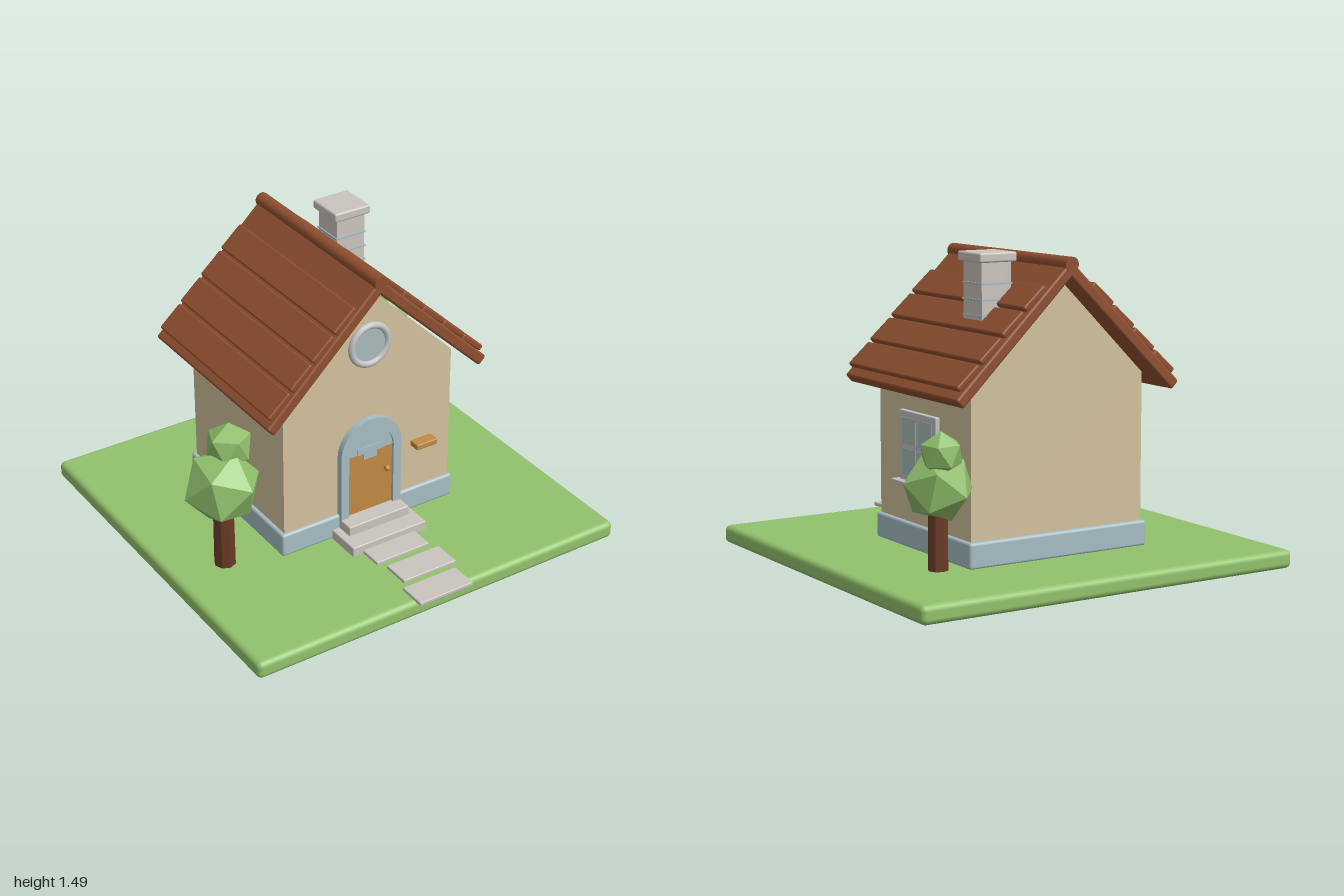
import * as THREE from 'three';
import { RoundedBoxGeometry } from 'three/addons/geometries/RoundedBoxGeometry.js';

const paint = (name, color) => {
  const m = new THREE.MeshStandardMaterial({ color });
  m.name = name;
  return m;
};

export function createModel() {
  const grass = paint('grass green', 0x92c26c);
  const leaf = paint('leaf green', 0x8fbf6b);
  const bark = paint('bark brown', 0x6b3a26);
  const roofRed = paint('roof brown', 0x8f4f30);
  const cream = paint('wall cream', 0xd2c29c);
  const trim = paint('trim blue', 0xa6bdc3);
  const glass = paint('glass blue', 0xa9bcbd);
  const wood = paint('door wood', 0xc28a45);
  const stone = paint('pale stone', 0xcac4bd);
  const frameGrey = paint('frame grey', 0xc2c3c2);
  leaf.flatShading = true;
  bark.flatShading = true;

  const model = new THREE.Group();
  model.name = 'cottage';

  const add = (name, geometry, material, x = 0, y = 0, z = 0, parent = model) => {
    const mesh = new THREE.Mesh(geometry, material);
    mesh.name = name;
    mesh.position.set(x, y, z);
    parent.add(mesh);
    return mesh;
  };
  // Box given by its limits, rounded when a radius is given
  const box = (name, mat, [x0, x1], [y0, y1], [z0, z1], r = 0, parent = model) => {
    const size = [x1 - x0, y1 - y0, z1 - z0];
    const geo = r ? new RoundedBoxGeometry(...size, 3, r) : new THREE.BoxGeometry(...size);
    return add(name, geo, mat, (x0 + x1) / 2, (y0 + y1) / 2, (z0 + z1) / 2, parent);
  };
  const extrude = (shape, depth) =>
    new THREE.ExtrudeGeometry(shape, { depth, bevelEnabled: false, curveSegments: 32 });

  // Ground, foundation and walls
  box('lawn', grass, [-1, 1], [0, 0.088], [-0.99, 0.95], 0.028);
  box('foundation', trim, [-0.487, 0.487], [0.085, 0.207], [-0.535, 0.325], 0.014);
  box('walls', cream, [-0.468, 0.468], [0.19, 0.91], [-0.512, 0.308]);
  const triangle = new THREE.Shape();
  triangle.moveTo(-0.468, 0.91);
  triangle.lineTo(0.468, 0.91);
  triangle.lineTo(0, 1.37);
  add('gable', extrude(triangle, 0.82), cream, 0, 0, -0.512);

  // Roof slabs with four overlapping rows of boards on each side
  const slope = THREE.MathUtils.degToRad(44);
  const rowTilt = THREE.MathUtils.degToRad(41.5);
  const roof = new THREE.Group();
  roof.name = 'roof';
  model.add(roof);
  for (const side of [-1, 1]) {
    const slab = add('roofSlab', new RoundedBoxGeometry(0.817, 0.055, 1.02, 3, 0.012),
      roofRed, side * 0.294, 1.134, -0.107, roof);
    slab.rotation.z = -side * slope;
    for (let i = 0; i < 4; i++) {
      const row = add('roofBoard', new RoundedBoxGeometry(0.148, 0.03, 0.993, 2, 0.009),
        roofRed, side * (0.183 + 0.1157 * i), 1.294 - 0.1103 * i, -0.104, roof);
      row.rotation.z = -side * rowTilt;
    }
  }
  add('ridge', new THREE.CylinderGeometry(0.035, 0.035, 1.024, 20), roofRed, 0, 1.438, -0.107, roof)
    .rotation.x = Math.PI / 2;

  // Chimney with thin bands
  const cx = 0.246, cz = -0.296;
  const square = (name, mat, half, y0, y1, r) =>
    box(name, mat, [cx - half, cx + half], [y0, y1], [cz - half, cz + half], r);
  square('chimney', stone, 0.078, 1.08, 1.45, 0);
  square('chimneyCap', stone, 0.099, 1.443, 1.488, 0.01);
  for (const y of [1.2, 1.272, 1.346]) square('chimneyBand', trim, 0.083, y - 0.004, y + 0.004, 0);

  // Round window in the gable
  add('roundWindowFrame', new THREE.TorusGeometry(0.099, 0.017, 12, 40), frameGrey, 0, 1.083, 0.314);
  add('roundWindowGlass', new THREE.CylinderGeometry(0.096, 0.096, 0.009, 40), glass, 0, 1.083, 0.312)
    .rotation.x = Math.PI / 2;

  // Arched door surround
  const arch = new THREE.Shape();
  arch.moveTo(0.17, 0.175);
  arch.lineTo(0.17, 0.525);
  arch.absarc(0, 0.525, 0.17, 0, Math.PI, false);
  arch.lineTo(-0.17, 0.175);
  arch.lineTo(-0.126, 0.175);
  arch.lineTo(-0.126, 0.51);
  arch.absarc(0, 0.51, 0.126, Math.PI, 0, true);
  arch.lineTo(0.126, 0.175);
  add('doorSurround', extrude(arch, 0.04), trim, 0, 0, 0.3);

  // Door leaf, fanlight, small light and knob
  box('door', wood, [-0.127, 0.127], [0.175, 0.51], [0.3, 0.325]);
  const fan = new THREE.Shape();
  fan.absarc(0, 0.51, 0.127, 0, Math.PI, false);
  add('fanlight', extrude(fan, 0.028), trim, 0, 0, 0.3);
  box('doorLightTop', trim, [-0.075, 0.075], [0.51, 0.545], [0.324, 0.332]);
  box('doorLight', trim, [-0.037, 0.037], [0.477, 0.51], [0.324, 0.332]);
  add('doorKnob', new THREE.SphereGeometry(0.015, 16, 12), wood, 0.085, 0.397, 0.348);
  add('knobStem', new THREE.CylinderGeometry(0.006, 0.006, 0.025, 12), wood, 0.085, 0.397, 0.333)
    .rotation.x = Math.PI / 2;
  box('letterBox', wood, [0.246, 0.364], [0.444, 0.474], [0.3, 0.365], 0.006);

  // Side window with four panes and a sill
  const wz = -0.075, wy = 0.568;
  box('windowFrame', frameGrey, [0.46, 0.49], [wy - 0.168, wy + 0.168], [wz - 0.166, wz + 0.166], 0.005);
  for (const i of [-1, 1]) for (const j of [-1, 1]) {
    const y = wy + 0.073 * i, z = wz + 0.073 * j;
    box('windowPane', glass, [0.484, 0.492], [y - 0.062, y + 0.062], [z - 0.062, z + 0.062]);
  }
  box('windowSill', frameGrey, [0.46, 0.522], [0.386, 0.407], [wz - 0.193, wz + 0.193], 0.005);

  // Front steps and garden path
  box('lowerStep', stone, [-0.21, 0.207], [0.08, 0.137], [0.3, 0.505], 0.006);
  box('upperStep', stone, [-0.17, 0.17], [0.13, 0.185], [0.3, 0.413], 0.006);
  for (const [x, z] of [[-0.005, 0.55], [0.02, 0.733], [-0.015, 0.914]]) {
    box('pathStone', stone, [x - 0.148, x + 0.148], [0.084, 0.104], [z - 0.071, z + 0.071], 0.005);
  }

  // Faceted trees: trunk foot, radius and two crowns [x, y, z, radius]
  const tree = (name, x, z, foot, r, crowns) => {
    const group = new THREE.Group();
    group.name = name;
    model.add(group);
    add('trunk', new THREE.CylinderGeometry(r * 0.95, r, 0.45 - foot, 8), bark, x, (0.45 + foot) / 2, z, group);
    crowns.forEach(([px, py, pz, radius], i) => {
      add('crown', new THREE.IcosahedronGeometry(radius, 0), leaf, px, py, pz, group)
        .rotation.set(0.35 + i * 0.3, 0.5 + i, 0.2 - i * 0.35);
    });
  };
  tree('leftTree', -0.735, 0.21, 0.085, 0.052, [[-0.738, 0.52, 0.21, 0.188], [-0.675, 0.7, 0.17, 0.115]]);
  tree('rightTree', 0.725, -0.655, 0.143, 0.046, [[0.722, 0.515, -0.653, 0.166], [0.737, 0.665, -0.707, 0.1]]);

  return model;
}
